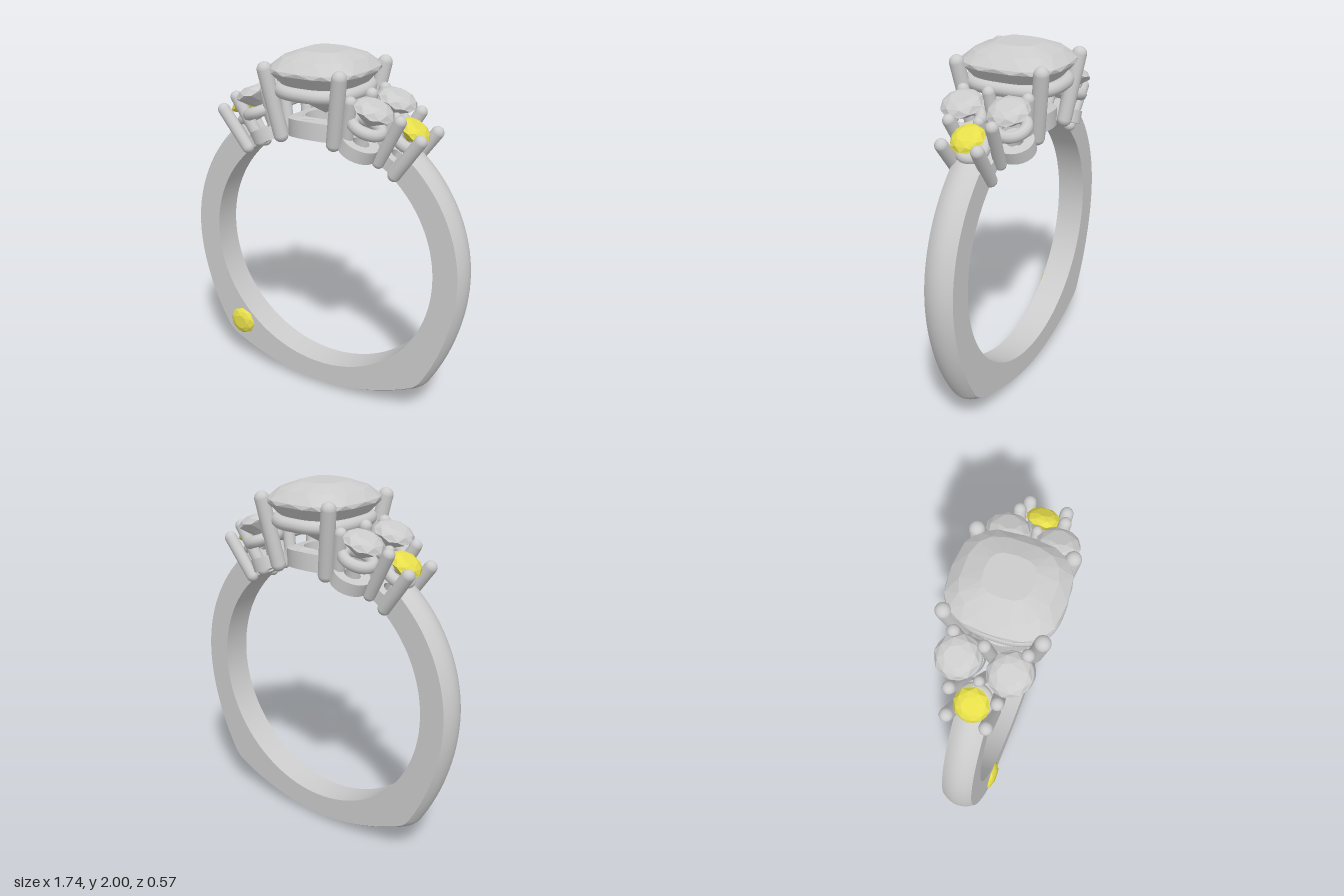
import * as THREE from 'three';
import { toCreasedNormals } from 'three/addons/utils/BufferGeometryUtils.js';

const CY = 0.86;      // height of the finger hole's centre
const INNER = 0.7;    // finger hole radius
const metal = new THREE.MeshStandardMaterial({ color: 0xcccccc });
const clear = new THREE.MeshStandardMaterial({ color: 0xcccccc, flatShading: true });
const yellow = new THREE.MeshStandardMaterial({ color: 0xe6de4a, flatShading: true });

function add(parent, name, geometry, material = metal) {
  const mesh = new THREE.Mesh(geometry, material);
  mesh.name = name;
  parent.add(mesh);
  return mesh;
}

function buildGeometry(positions, index) {
  const g = new THREE.BufferGeometry();
  g.setAttribute('position', new THREE.Float32BufferAttribute(positions, 3));
  g.setIndex(index);
  g.computeVertexNormals();
  return g;
}

// Band: domed cross-sections swept along an outline with two lower corners
function shankGeometry() {
  const v = (x, y) => new THREE.Vector2(x, y - CY);
  const half = [];
  for (let i = 0; i <= 24; i++) {
    const a = THREE.MathUtils.degToRad(54 * (1 - i / 24));
    half.push(new THREE.Vector2(0.87 * Math.cos(a), 0.87 * Math.sin(a)));
  }
  const curves = [
    new THREE.CubicBezierCurve(v(0.87, 0.86), v(0.87, 0.64), v(0.79, 0.4), v(0.68, 0.22)),
    new THREE.QuadraticBezierCurve(v(0.68, 0.22), v(0.655, 0.175), v(0.6, 0.15)),
    new THREE.CubicBezierCurve(v(0.6, 0.15), v(0.42, 0.06), v(0.2, 0), v(0, 0)),
  ];
  curves.forEach(c => half.push(...c.getPoints(16).slice(1)));
  const mirrored = half.slice(0, -1).reverse().map(p => new THREE.Vector2(-p.x, p.y));
  const path = [...half, ...mirrored];

  const h = 0.083, dome = 10, n = dome + 3;
  const pos = [], idx = [];
  for (const p of path) {
    const a = Math.atan2(p.y, p.x), out = p.length();
    const put = (r, z) => pos.push(r * Math.cos(a), CY + r * Math.sin(a), z);
    put(INNER, h);
    put(INNER, -h);
    for (let k = 0; k <= dome; k++) {
      const t = (k / dome) * 2 - 1;
      put(out - 0.03 * t * t, h * t);
    }
  }
  for (let i = 0; i < path.length - 1; i++) {
    for (let j = 0; j < n; j++) {
      const a = i * n + j, b = i * n + (j + 1) % n;
      idx.push(a, b, b + n, a, b + n, a + n);
    }
  }
  const last = (path.length - 1) * n;
  for (let k = 1; k < n - 1; k++) idx.push(0, k + 1, k, last, last + k, last + k + 1);
  return toCreasedNormals(buildGeometry(pos, idx), 0.5);
}

// Faceted stone: rows of [scale, height], each row turned by half a step
function gemGeometry(rx, rz, n, power, rows) {
  const pos = [], idx = [];
  const ease = c => Math.sign(c) * Math.abs(c) ** (2 / power);
  rows.forEach(([s, y], i) => {
    for (let j = 0; j < n; j++) {
      const a = (j + (i % 2) / 2) / n * Math.PI * 2;
      pos.push(rx * s * ease(Math.cos(a)), y, rz * s * ease(Math.sin(a)));
    }
  });
  for (let j = 1; j < n - 1; j++) idx.push(0, j + 1, j);
  for (let i = 0; i < rows.length - 1; i++) {
    for (let j = 0; j < n; j++) {
      const k = (j + 1) % n, a = i * n, b = a + n;
      if (i % 2) idx.push(a + j, b + k, b + j, a + j, a + k, b + k);
      else idx.push(a + j, a + k, b + j, a + k, b + k, b + j);
    }
  }
  return buildGeometry(pos, idx);
}

const roundGem = r => gemGeometry(r, r, 8, 2, [
  [0.5, 0.4 * r], [0.82, 0.27 * r], [1.0, 0.06 * r], [1.0, -0.04 * r], [0.55, -0.4 * r], [0.02, -0.8 * r],
]);

// Flat ring with a hole, lying in the xz plane
function ringPlate(outer, hole, depth) {
  const shape = new THREE.Shape().absarc(0, 0, outer, 0, Math.PI * 2);
  shape.holes.push(new THREE.Path().absarc(0, 0, hole, 0, Math.PI * 2, true));
  return new THREE.ExtrudeGeometry(shape, { depth, bevelEnabled: false, curveSegments: 24 })
    .rotateX(-Math.PI / 2);
}

// Round-tipped claw between two points
function prong(parent, name, top, bottom, r) {
  const a = new THREE.Vector3(...top), b = new THREE.Vector3(...bottom);
  const dir = a.clone().sub(b);
  const mesh = add(parent, name, new THREE.CapsuleGeometry(r, dir.length(), 6, 16));
  mesh.position.copy(a).add(b).multiplyScalar(0.5);
  mesh.quaternion.setFromUnitVectors(new THREE.Vector3(0, 1, 0), dir.normalize());
}

// Stone, rail and pierced base stacked along one radius of the ring
function setting(parent, name, s, degrees, z, o) {
  const g = new THREE.Group();
  g.name = name;
  g.position.set(0, CY, z);
  g.rotation.z = -s * THREE.MathUtils.degToRad(degrees);
  add(g, 'stone', roundGem(o.r), o.material).position.y = o.height;
  add(g, 'rail', new THREE.TorusGeometry(o.rail, 0.032, 10, 32).rotateX(Math.PI / 2)).position.y = o.railHeight;
  add(g, 'base', toCreasedNormals(ringPlate(o.base, o.hole, 0.07), 0.6)).position.y = INNER;
  parent.add(g);
}

export function createModel() {
  const ring = new THREE.Group();
  ring.name = 'ring';
  add(ring, 'shank', shankGeometry());

  // Cushion-cut centre stone
  add(ring, 'centreStone', gemGeometry(0.264, 0.283, 16, 2.9, [
    [0.42, 2.0], [0.78, 1.965], [1.0, 1.915], [1.0, 1.895], [0.66, 1.79], [0.3, 1.71], [0.01, 1.66],
  ]), clear);

  // Cushion-shaped rail under the centre stone
  const loop = [];
  for (let i = 0; i < 32; i++) {
    const a = i / 32 * Math.PI * 2, c = Math.cos(a), s = Math.sin(a);
    loop.push(new THREE.Vector3(0.21 * Math.sign(c) * Math.abs(c) ** 0.75, 1.8,
      0.243 * Math.sign(s) * Math.abs(s) ** 0.75));
  }
  add(ring, 'centreRail', new THREE.TubeGeometry(new THREE.CatmullRomCurve3(loop, true), 80, 0.036, 12, true));

  // Centre base ring, bent to follow the finger hole
  const base = ringPlate(0.2, 0.11, 0.095);
  const p = base.attributes.position;
  for (let i = 0; i < p.count; i++) {
    p.setY(i, p.getY(i) + CY + Math.sqrt(INNER ** 2 - p.getX(i) ** 2));
  }
  add(ring, 'centreBase', toCreasedNormals(base, 0.6));

  for (const s of [1, -1]) {
    const side = new THREE.Group();
    side.name = s > 0 ? 'leftShoulder' : 'rightShoulder';
    ring.add(side);

    for (const t of [1, -1]) {
      setting(side, 'sideSetting', s, 22, t * 0.13, {
        r: 0.112, material: clear, height: 0.955, rail: 0.078, railHeight: 0.86, base: 0.1, hole: 0.045,
      });
      prong(side, 'centreProng', [s * 0.222, 1.91, t * 0.24], [s * 0.162, 1.56, t * 0.19], 0.04);
      prong(side, 'innerSideProng', [s * 0.255, 1.785, t * 0.185], [s * 0.22, 1.57, t * 0.16], 0.033);
      prong(side, 'outerSideProng', [s * 0.5, 1.705, t * 0.12], [s * 0.37, 1.47, t * 0.09], 0.033);
      prong(side, 'accentProng', [s * 0.605, 1.615, t * 0.1], [s * 0.46, 1.415, t * 0.085], 0.035);
    }
    prong(side, 'middleProng', [s * 0.285, 1.8, s * 0.02], [s * 0.24, 1.55, 0], 0.033);
    prong(side, 'sharedProng', [s * 0.42, 1.69, 0], [s * 0.33, 1.51, 0], 0.028);

    setting(side, 'accentSetting', s, 34, 0, {
      r: 0.09, material: yellow, height: 0.94, rail: 0.062, railHeight: 0.865, base: 0.083, hole: 0.035,
    });
  }

  // Small stone set into the front face of the band
  const inset = add(ring, 'insetStone', roundGem(0.087), yellow);
  inset.rotation.x = Math.PI / 2;
  inset.position.set(-0.55, 0.28, 0.076);
  return ring;
}
